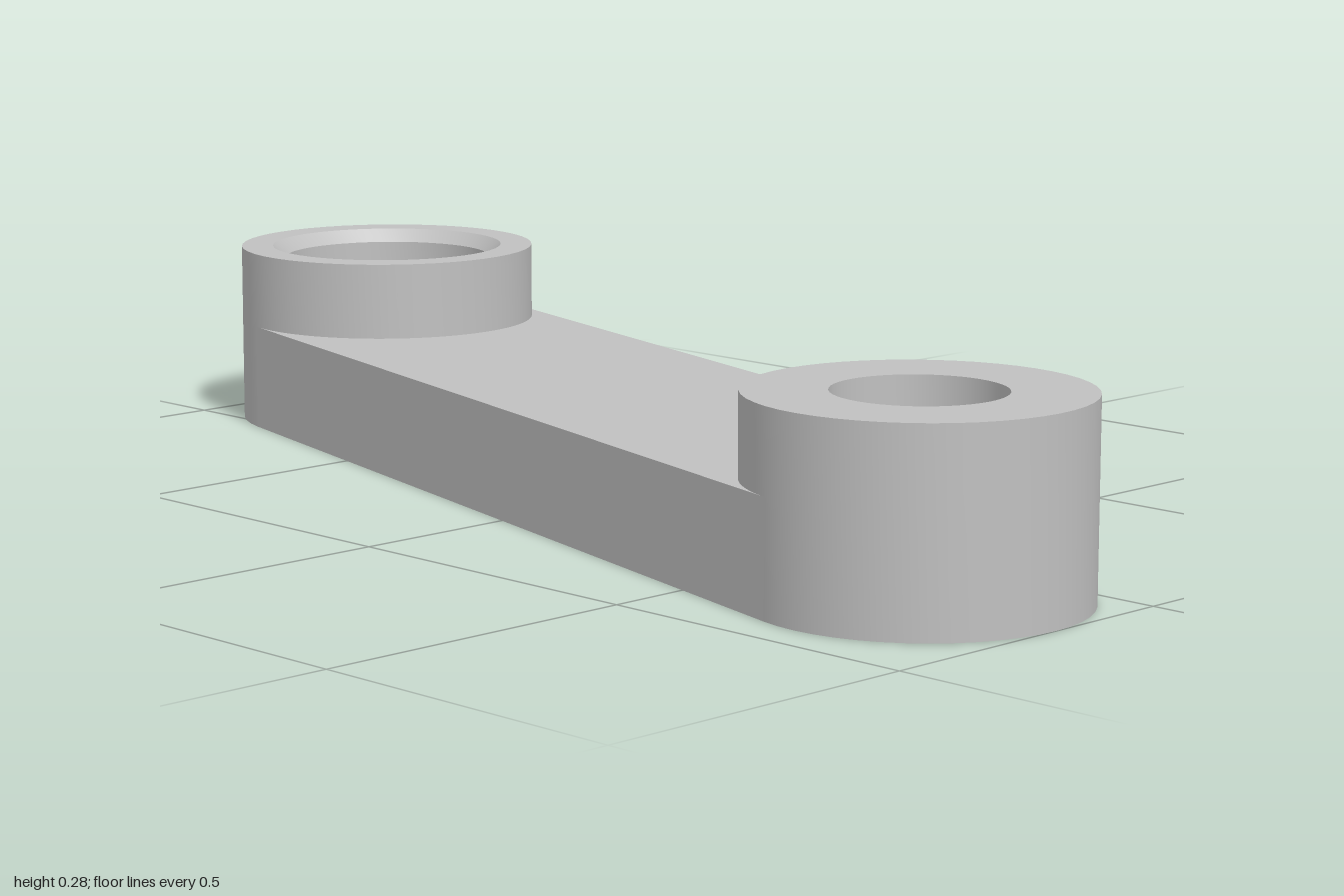
import * as THREE from 'three';
import { toCreasedNormals } from 'three/addons/utils/BufferGeometryUtils.js';

const SIDES = 48;
const R = 0.238;           // boss radius, also half the arm width
const HOLE = 0.12;
const HEIGHT = 0.284;
const ARM_HEIGHT = 0.165;
const END = { x: -0.2, z: 0.762 };   // centre of the front boss

export function createModel() {
  const metal = new THREE.MeshStandardMaterial({ color: 0xc0c0c0 });
  metal.name = 'light grey metal';

  const link = new THREE.Group();
  link.name = 'linkArm';
  const half = Math.hypot(END.x, END.z);

  const add = (name, geometry, z = 0) => {
    const mesh = new THREE.Mesh(toCreasedNormals(geometry, 0.5), metal);
    mesh.name = name;
    mesh.position.z = z;
    link.add(mesh);
  };

  // Revolved ring: closed outline running up the outside and down the bore
  const ring = (bore) => new THREE.LatheGeometry(
    [[R, 0], [R, HEIGHT], ...bore, [R, 0]].map(([r, y]) => new THREE.Vector2(r, y)), SIDES);

  // Flat arm whose ends are hollowed to meet the round bosses
  const outline = new THREE.Shape();
  outline.moveTo(R, -half);
  outline.lineTo(R, half);
  outline.absarc(0, half, R, 0, Math.PI, true);
  outline.lineTo(-R, -half);
  outline.absarc(0, -half, R, Math.PI, 0, true);
  const arm = new THREE.ExtrudeGeometry(outline, {
    depth: ARM_HEIGHT, bevelEnabled: false, curveSegments: SIDES / 2,
  });
  arm.rotateX(-Math.PI / 2);
  add('arm', arm);

  // Front boss with a plain through hole
  add('plainBoss', ring([[HOLE, HEIGHT], [HOLE, 0]]), half);

  // Rear boss with a chamfered pocket above and below a central web
  const mouth = 0.187, pocket = 0.167, chamfer = 0.02, depth = 0.085;
  const upper = [[mouth, HEIGHT], [pocket, HEIGHT - chamfer], [pocket, HEIGHT - depth], [HOLE, HEIGHT - depth]];
  const lower = upper.map(([r, y]) => [r, HEIGHT - y]).reverse();
  add('bearingBoss', ring([...upper, ...lower]), -half);

  // Swing the link to its diagonal pose
  link.rotation.y = Math.atan2(END.x, END.z);
  const model = new THREE.Group();
  model.name = 'connectingLink';
  model.add(link);
  return model;
}
